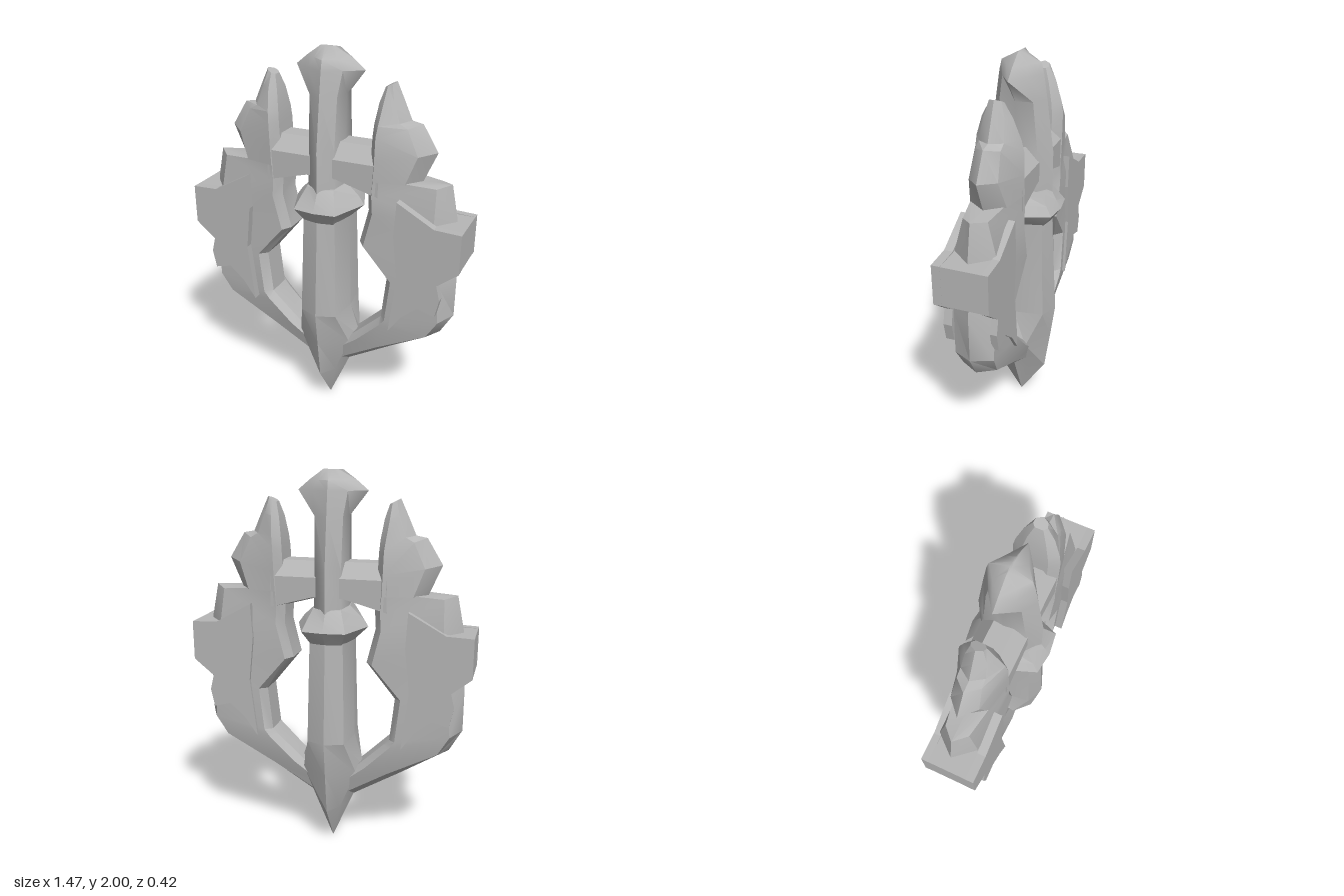
import * as THREE from 'three';
import { toCreasedNormals } from 'three/addons/utils/BufferGeometryUtils.js';

const stone = new THREE.MeshStandardMaterial({ color: 0xb6b6b6 });
stone.name = 'grey stone';

// Closed skin over a list of equal-length rings, with capped ends facing outward
function loft(rings, crease) {
  const n = rings[0].length;
  const pts = rings.flat();
  const tris = [];
  for (let r = 0; r < rings.length - 1; r++) {
    for (let i = 0; i < n; i++) {
      const a = r * n + i, b = r * n + (i + 1) % n;
      tris.push([a, b, b + n], [a, b + n, a + n]);
    }
  }
  const last = (rings.length - 1) * n;
  for (let i = 1; i < n - 1; i++) {
    tris.push([0, i + 1, i], [last, last + i, last + i + 1]);
  }
  // Signed volume tells whether the corners must be reversed
  const V = pts.map(p => new THREE.Vector3(...p));
  const volume = tris.reduce((s, [a, b, c]) => s + V[a].dot(V[b].clone().cross(V[c])), 0);
  const index = tris.flatMap(t => (volume < 0 ? [t[0], t[2], t[1]] : t));
  const g = new THREE.BufferGeometry();
  g.setAttribute('position', new THREE.Float32BufferAttribute(pts.flat(), 3));
  g.setIndex(index);
  return toCreasedNormals(g, crease);
}

function part(name, geometry) {
  const m = new THREE.Mesh(geometry, stone);
  m.name = name;
  return m;
}

// Eight-sided ring: half width w, half depth d, corner at (kx*w, kz*d)
function ring([y, w, d, kx, kz]) {
  return [[0, 1], [kx, kz], [1, 0], [kx, -kz], [0, -1], [-kx, -kz], [-1, 0], [-kx, kz]]
    .map(([x, z]) => [x * w, y, z * d]);
}

// Wing section: inner edge, inner shoulder, outer shoulder, sharp outer edge
function wingRing(s, [ix, iy, ox, oy, d, k, dk]) {
  const at = (t, z) => [s * (ix + (ox - ix) * t), iy + (oy - iy) * t, z];
  const t1 = Math.min(0.3, 0.035 / Math.hypot(ox - ix, oy - iy));
  return [at(0, d * 0.6), at(t1, d), at(k, dk), at(1, 0), at(k, -dk), at(t1, -d), at(0, -d * 0.6)];
}

// innerX, innerY, outerX, outerY, half depth, outer shoulder position and half depth
const wingRows = [
  [0.29, 1.84, 0.34, 1.865, 0.035, 0.7, 0.03],
  [0.27, 1.77, 0.375, 1.79, 0.075, 0.7, 0.05],
  [0.255, 1.67, 0.42, 1.69, 0.11, 0.75, 0.06],
  [0.25, 1.61, 0.475, 1.68, 0.12, 0.75, 0.06],
  [0.245, 1.5, 0.555, 1.55, 0.12, 0.75, 0.07],
  [0.24, 1.4, 0.49, 1.4, 0.12, 0.75, 0.09]
];
const bodyRows = [
  [0.24, 1.42, 0.49, 1.4, 0.118, 0.8, 0.08],
  [0.235, 1.315, 0.635, 1.405, 0.118, 0.85, 0.06],
  [0.24, 1.23, 0.67, 1.235, 0.118, 0.8, 0.1],
  [0.195, 1.05, 0.68, 1.0, 0.115, 0.85, 0.1],
  [0.345, 0.865, 0.69, 0.93, 0.11, 0.8, 0.105],
  [0.32, 0.635, 0.69, 0.7, 0.11, 0.85, 0.1],
  [0.29, 0.605, 0.625, 0.585, 0.11, 0.85, 0.09],
  [0.16, 0.48, 0.37, 0.425, 0.1, 0.7, 0.08],
  [0.06, 0.4, 0.08, 0.25, 0.08, 0.7, 0.06]
];

const plateOutline = [
  [0.41, 1.33], [0.6, 1.225], [0.735, 1.22], [0.735, 1.015], [0.63, 0.93], [0.65, 0.85],
  [0.63, 0.755], [0.54, 0.78], [0.46, 0.71], [0.39, 0.61], [0.425, 0.92], [0.4, 1.15]
];

function plate(s, z, depth) {
  const shape = new THREE.Shape(plateOutline.map(([x, y]) => new THREE.Vector2(s * x, y)));
  const g = new THREE.ExtrudeGeometry(shape, { depth, bevelEnabled: false });
  return g.translate(0, 0, z);
}

export function createModel() {
  const model = new THREE.Group();
  model.name = 'winged sword emblem';

  // Sword: pommel and grip, guard, blade
  const sword = new THREE.Group();
  sword.name = 'sword';
  sword.add(part('gripAndPommel', loft([
    [2.0, 0.05, 0.004, 0.5, 0.5],
    [1.95, 0.12, 0.1, 0.5, 0.55],
    [1.9, 0.18, 0.112, 0.5, 0.55],
    [1.78, 0.085, 0.13, 0.85, 0.65],
    [1.52, 0.08, 0.165, 0.85, 0.65],
    [1.3, 0.085, 0.165, 0.85, 0.65]
  ].map(ring), 0.8)));
  sword.add(part('guard', loft([
    [1.325, 0.09, 0.155, 0.8, 0.8],
    [1.265, 0.155, 0.185, 0.62, 0.9],
    [1.22, 0.187, 0.212, 0.6, 0.93],
    [1.15, 0.115, 0.165, 0.7, 0.9]
  ].map(ring), 0.3)));
  sword.add(part('blade', loft([
    [1.18, 0.105, 0.165, 0.82, 0.85],
    [0.62, 0.12, 0.195, 0.82, 0.8],
    [0.43, 0.182, 0.17, 0.8, 0.45],
    [0.21, 0.09, 0.138, 0.6, 0.42],
    [0.005, 0.002, 0.002, 0.6, 0.42]
  ].map(ring), 0.3)));
  model.add(sword);

  // Ridged bar joining the two wings behind the grip
  const barRing = (x, drop) => [
    [x, 1.48, 0.115], [x, 1.555, 0.05], [x, 1.555, -0.05], [x, 1.48, -0.115],
    [x, 1.38 - drop, -0.115], [x, 1.36 - drop, 0], [x, 1.38 - drop, 0.115]
  ];
  model.add(part('crossBar', loft(
    [barRing(-0.3, 0.06), barRing(-0.08, 0), barRing(0.08, 0), barRing(0.3, 0.06)], 0.3)));

  // Mirrored wings with their armour plates
  for (const s of [1, -1]) {
    const wing = new THREE.Group();
    wing.name = s > 0 ? 'leftWing' : 'rightWing';
    wing.add(part('upperFeather', loft(wingRows.map(r => wingRing(s, r)), 0.5)));
    wing.add(part('wingBodyAndArm', loft(bodyRows.map(r => wingRing(s, r)), 0.5)));
    wing.add(part('frontPlate', plate(s, 0.105, 0.043)));
    wing.add(part('backPlate', plate(s, -0.124, 0.035)));
    const block = new THREE.BoxGeometry(0.285, 0.203, 0.27);
    wing.add(part('shoulderBlock', block.translate(s * 0.592, 1.118, 0.012)));
    model.add(wing);
  }
  return model;
}
